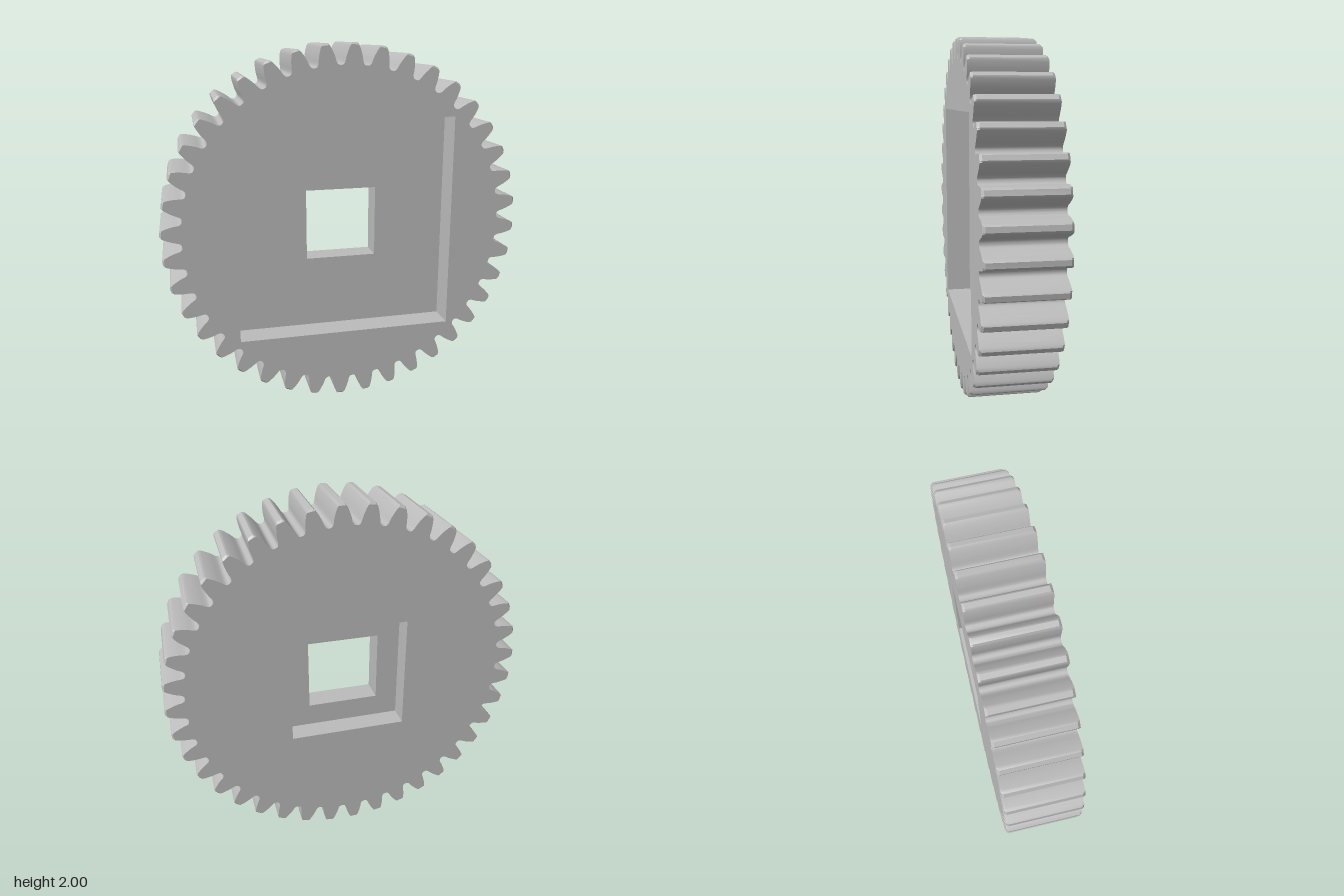
import * as THREE from 'three';
import { toCreasedNormals } from 'three/addons/utils/BufferGeometryUtils.js';

const TEETH = 40, PITCH_R = 0.952, BASE_R = 0.895, HALF_Z = 0.203;
const FRONT_FLOOR = 0.053, BACK_FLOOR = -0.083; // z of the recess floors

// Involute flank: half angle of a tooth at radius r
const inv = (a) => Math.tan(a) - a;
const halfAngle = (r) =>
  Math.PI / (2 * TEETH) + inv(Math.acos(BASE_R / PITCH_R)) - inv(Math.acos(BASE_R / r));

// Gear outline, counter-clockwise, with radii limited to maxR
function gearLoop(maxR) {
  const flank = [[0.888, 0.073], [0.8905, 0.064], [0.897, 0.0575]];
  for (const r of [0.907, 0.925, 0.945, 0.965, 0.982, 0.994]) flank.push([r, halfAngle(r)]);
  flank.push([1.0, 0.0135]);
  const tooth = [
    ...flank.map(([r, a]) => [r, -a]),
    ...flank.slice().reverse(),
  ];
  const points = [];
  for (let i = 0; i < TEETH; i++) {
    const mid = ((i - 0.25) * 2 * Math.PI) / TEETH;
    for (const [r, a] of tooth) {
      const R = Math.min(r, maxR);
      points.push(new THREE.Vector2(R * Math.cos(mid + a), R * Math.sin(mid + a)));
    }
  }
  return points;
}

const squareLoop = (h) =>
  [[-h, -h], [h, -h], [h, h], [-h, h]].map(([x, y]) => new THREE.Vector2(x, y));

// Wall joining matching loops, given from back to front as [points, z]
function wall(levels) {
  const pos = [];
  for (let k = 0; k + 1 < levels.length; k++) {
    const [a, za] = levels[k], [b, zb] = levels[k + 1];
    for (let i = 0; i < a.length; i++) {
      const j = (i + 1) % a.length;
      pos.push(a[i].x, a[i].y, za, a[j].x, a[j].y, za, b[j].x, b[j].y, zb);
      pos.push(a[i].x, a[i].y, za, b[j].x, b[j].y, zb, b[i].x, b[i].y, zb);
    }
  }
  const geometry = new THREE.BufferGeometry();
  geometry.setAttribute('position', new THREE.Float32BufferAttribute(pos, 3));
  return toCreasedNormals(geometry, 0.55);
}

// Flat face with a square hole, looking to the front or the back
function face(outline, holeHalf, z, back) {
  const shape = new THREE.Shape(outline);
  shape.holes.push(new THREE.Path(squareLoop(holeHalf)));
  const geometry = new THREE.ShapeGeometry(shape);
  geometry.translate(0, 0, z);
  if (back) {
    geometry.index.array.reverse();
    geometry.computeVertexNormals();
  }
  return geometry;
}

export function createModel() {
  const metal = new THREE.MeshStandardMaterial({ color: 0xbbbbbb });
  metal.name = 'grey metal';
  const gear = new THREE.Group();
  gear.name = 'spurGear';
  const add = (name, geometry) => {
    const mesh = new THREE.Mesh(geometry, metal);
    mesh.name = name;
    gear.add(mesh);
  };

  const FRONT = 0.606, BACK = 0.327, BORE = 0.2; // half sizes of the square openings
  const full = gearLoop(1), trimmed = gearLoop(0.99);

  // Toothed rim with slightly chamfered tooth ends
  add('toothedRim', wall([
    [trimmed, -HALF_Z], [full, -HALF_Z + 0.012], [full, HALF_Z - 0.012], [trimmed, HALF_Z],
  ]));
  add('frontFace', face(trimmed, FRONT, HALF_Z, false));
  add('backFace', face(trimmed, BACK, -HALF_Z, true));

  // Stepped square recesses and the bore between them
  add('frontRecessFloor', face(squareLoop(FRONT), BORE, FRONT_FLOOR, false));
  add('backRecessFloor', face(squareLoop(BACK), BORE, BACK_FLOOR, true));
  const openings = [
    ['frontRecessWalls', FRONT, FRONT_FLOOR, HALF_Z],
    ['boreWalls', BORE, BACK_FLOOR, FRONT_FLOOR],
    ['backRecessWalls', BACK, -HALF_Z, BACK_FLOOR],
  ];
  for (const [name, half, z0, z1] of openings) {
    const inward = squareLoop(half).reverse();
    add(name, wall([[inward, z0], [inward, z1]]));
  }

  gear.position.y = 1;
  const model = new THREE.Group();
  model.name = 'gearModel';
  model.add(gear);
  return model;
}
